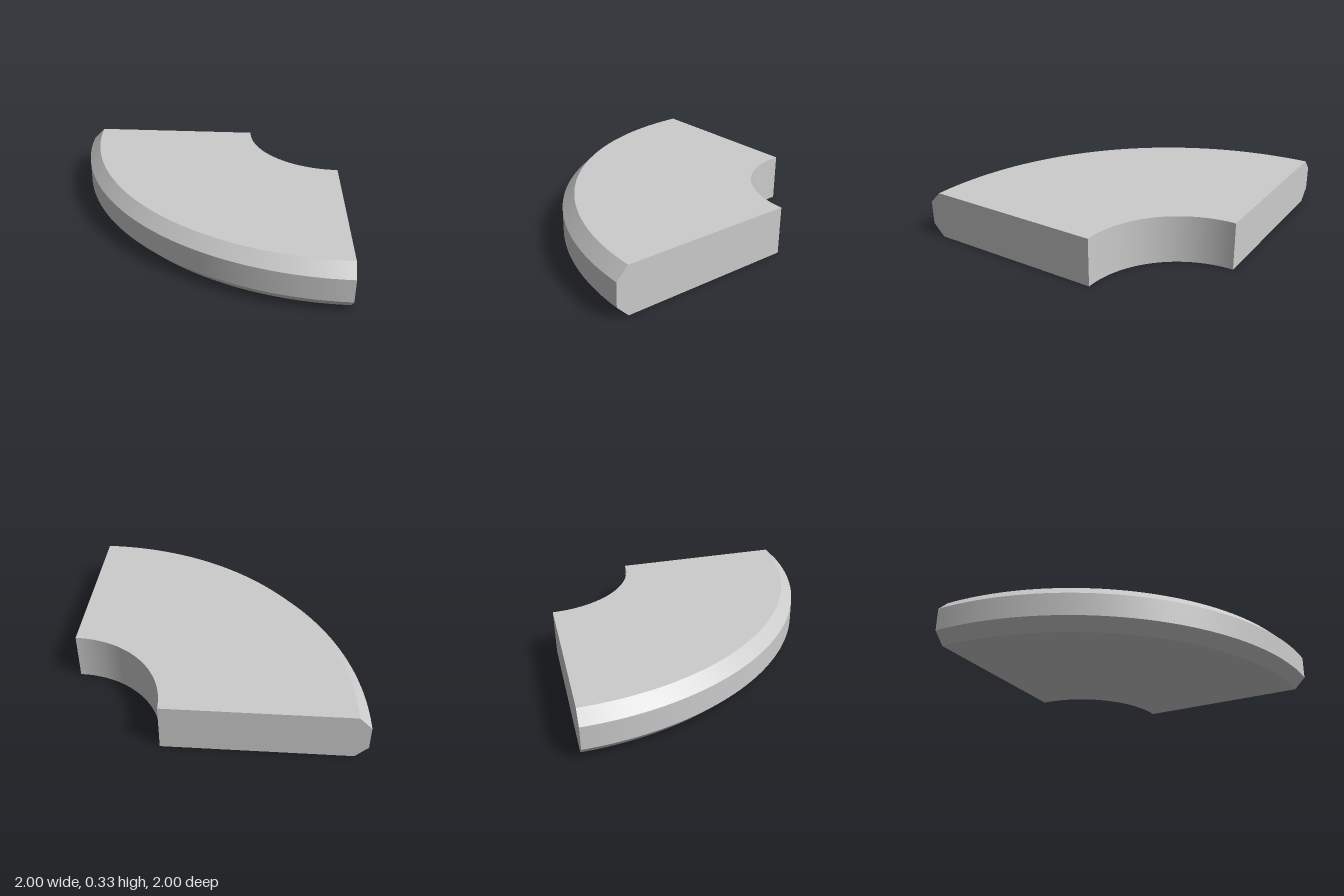
import * as THREE from 'three';
import { toCreasedNormals } from 'three/addons/utils/BufferGeometryUtils.js';

const INNER = 2 / 3, OUTER = 2, HEIGHT = 1 / 3, BEVEL = 1 / 12;

export function createModel() {
  const group = new THREE.Group();
  group.name = 'quarterRingSlab';
  const material = new THREE.MeshStandardMaterial({ color: 0xcccccc });

  // Cross-section (radius, height) with both outer edges bevelled
  const profile = [
    [INNER, 0], [OUTER - BEVEL, 0], [OUTER, BEVEL],
    [OUTER, HEIGHT - BEVEL], [OUTER - BEVEL, HEIGHT], [INNER, HEIGHT],
  ].map(([r, y]) => new THREE.Vector2(r, y));

  const add = (name, geometry) => {
    const mesh = new THREE.Mesh(geometry, material);
    mesh.name = name;
    mesh.position.set(1, 0, -1); // arc centre at the back left corner
    group.add(mesh);
  };

  // Swept quarter turn: top, bottom, bevels, inner and outer walls
  const sweep = new THREE.LatheGeometry([...profile, profile[0].clone()], 64, -Math.PI / 2, Math.PI / 2);
  add('curvedBody', toCreasedNormals(sweep, Math.PI / 6));

  // Flat cut ends closing the sweep
  const endFace = (side) => new THREE.ShapeGeometry(
    new THREE.Shape(profile.map((p) => new THREE.Vector2(side * p.x, p.y))));
  add('backEndFace', endFace(1).rotateY(Math.PI));
  add('leftEndFace', endFace(-1).rotateY(Math.PI / 2));

  return group;
}
